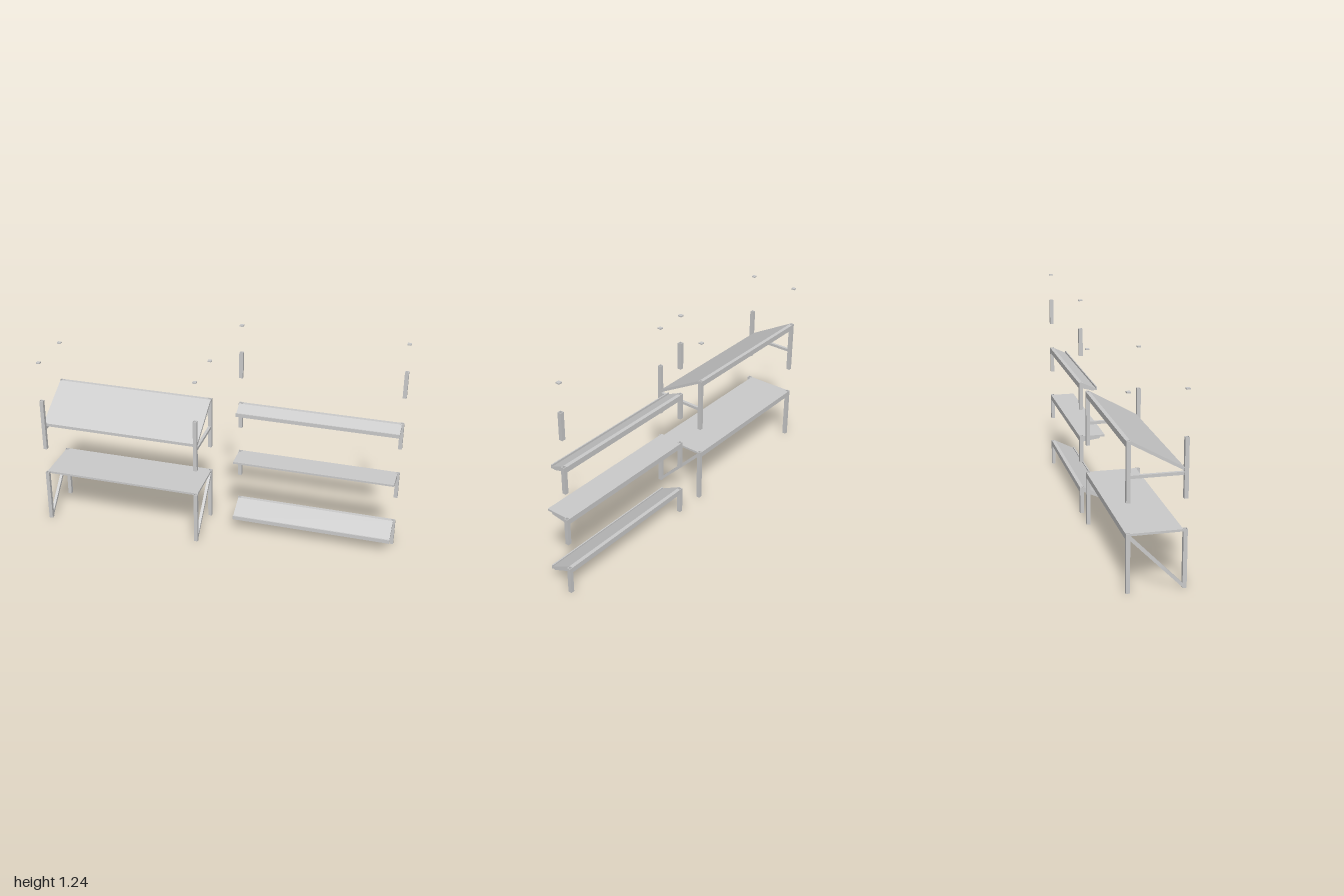
import * as THREE from 'three';

const mat = new THREE.MeshStandardMaterial({ color: 0xcccccc, flatShading: true });
const POST = 0.021; // square tube width
const ZP = 0.1425; // post centre distance from the middle
const ZI = ZP - POST / 2; // inner face of the posts

function add(group, name, geometry) {
  const mesh = new THREE.Mesh(geometry, mat);
  mesh.name = name;
  group.add(mesh);
}

function box(group, name, x0, x1, y0, y1, z0, z1) {
  const g = new THREE.BoxGeometry(x1 - x0, y1 - y0, z1 - z0);
  g.translate((x0 + x1) / 2, (y0 + y1) / 2, (z0 + z1) / 2);
  add(group, name, g);
}

// Side outline of [z, y] points, extruded along x
function profile(group, name, points, x0, x1) {
  const shape = new THREE.Shape(points.map(([z, y]) => new THREE.Vector2(-z, y)));
  const g = new THREE.ExtrudeGeometry(shape, { depth: x1 - x0, bevelEnabled: false });
  g.rotateY(Math.PI / 2);
  g.translate(x0, 0, 0);
  add(group, name, g);
}

function square(path, h) {
  path.moveTo(-h, -h).lineTo(h, -h).lineTo(h, h).lineTo(-h, h).closePath();
  return path;
}

// Hollow square post
function post(group, x, z, y0, y1) {
  const shape = square(new THREE.Shape(), POST / 2);
  shape.holes.push(square(new THREE.Path(), POST / 2 - 0.003));
  const g = new THREE.ExtrudeGeometry(shape, { depth: y1 - y0, bevelEnabled: false });
  g.rotateX(-Math.PI / 2);
  g.translate(x, y0, z);
  add(group, 'post', g);
}

function cap(group, x, z, y) {
  const h = POST / 2;
  box(group, 'postCap', x - h, x + h, y, y + 0.007, z - h, z + h);
}

function backRail(group, xs, top) {
  box(group, 'backRail', xs[0] + POST / 2, xs[1] - POST / 2, top - 0.031, top, -ZP - POST / 2, -ZI);
}

function section(parent, name) {
  const g = new THREE.Group();
  g.name = name;
  parent.add(g);
  return g;
}

export function createModel() {
  const model = new THREE.Group();
  model.name = 'modularShelving';

  // Wide table modules
  const wide = [-0.9895, -0.0905];
  const [bx0, bx1] = [-0.996, -0.084];
  const lower = section(model, 'flatTableModule');
  const upper = section(model, 'slopedTableModule');
  const wideCaps = section(model, 'wideCaps');
  for (const x of wide) {
    for (const z of [-ZP, ZP]) {
      post(lower, x, z, 0, 0.309);
      post(upper, x, z, 0.465, 0.772);
      cap(wideCaps, x, z, 1.002);
    }
    const [a, b] = [x - 0.008, x + 0.008];
    profile(lower, 'diagonalBrace', [[ZI, 0.004], [ZI, 0.026], [-ZI, 0.298], [-ZI, 0.272]], a, b);
    box(upper, 'sideRail', a, b, 0.585, 0.601, -ZI, ZI);
  }
  backRail(lower, wide, 0.308);
  backRail(upper, wide, 0.771);
  box(lower, 'tableTop', bx0, bx1, 0.296, 0.308, -ZI, ZI);
  profile(upper, 'slopedBoard', [[ZI, 0.606], [ZI, 0.623], [-ZI, 0.771], [-ZI, 0.754]], bx0, bx1);

  // Narrow shelf modules: bracket outline, board outline, optional lip
  const narrow = [0.0905, 0.9895];
  const [sx0, sx1] = [0.083, 0.988];
  const shelves = [
    {
      name: 'lowSlopedShelf', y: 0, top: 0.155,
      bracket: [[-ZI, 0.15], [-0.015, 0.09], [-0.032, 0.082], [-ZI, 0.126]],
      board: [[-ZI, 0.155], [-0.012, 0.094], [-0.012, 0.087], [-ZI, 0.148]],
      lip: [-0.015, -0.008, 0.081, 0.103],
    },
    {
      name: 'flatShelf', y: 0.31, top: 0.463,
      bracket: [[-ZI, 0.454], [-0.033, 0.454], [-0.04, 0.443], [-ZI, 0.431]],
      board: [[-ZI, 0.463], [-0.008, 0.463], [-0.008, 0.452], [-ZI, 0.452]],
    },
    {
      name: 'highSlopedShelf', y: 0.619, top: 0.771,
      bracket: [[-ZI, 0.765], [-0.058, 0.732], [-0.075, 0.725], [-ZI, 0.741]],
      board: [[-ZI, 0.771], [-0.056, 0.736], [-0.056, 0.729], [-ZI, 0.764]],
      lip: [-0.059, -0.053, 0.727, 0.748],
    },
  ];
  for (const s of shelves) {
    const g = section(model, s.name);
    for (const x of narrow) {
      post(g, x, -ZP, s.y, s.y + 0.154);
      profile(g, 'bracket', s.bracket, x - 0.007, x + 0.009 - (x > 0.5 ? 0.011 : 0));
    }
    backRail(g, narrow, s.top);
    profile(g, 'shelfBoard', s.board, sx0, sx1);
    if (s.lip) box(g, 'frontLip', sx0, sx1, s.lip[2], s.lip[3], s.lip[0], s.lip[1]);
  }

  // Loose extension posts and caps
  const extension = section(model, 'narrowExtension');
  for (const x of narrow) {
    post(extension, x, -ZP, 0.928, 1.08);
    cap(extension, x, -ZP, 1.234);
  }
  return model;
}
